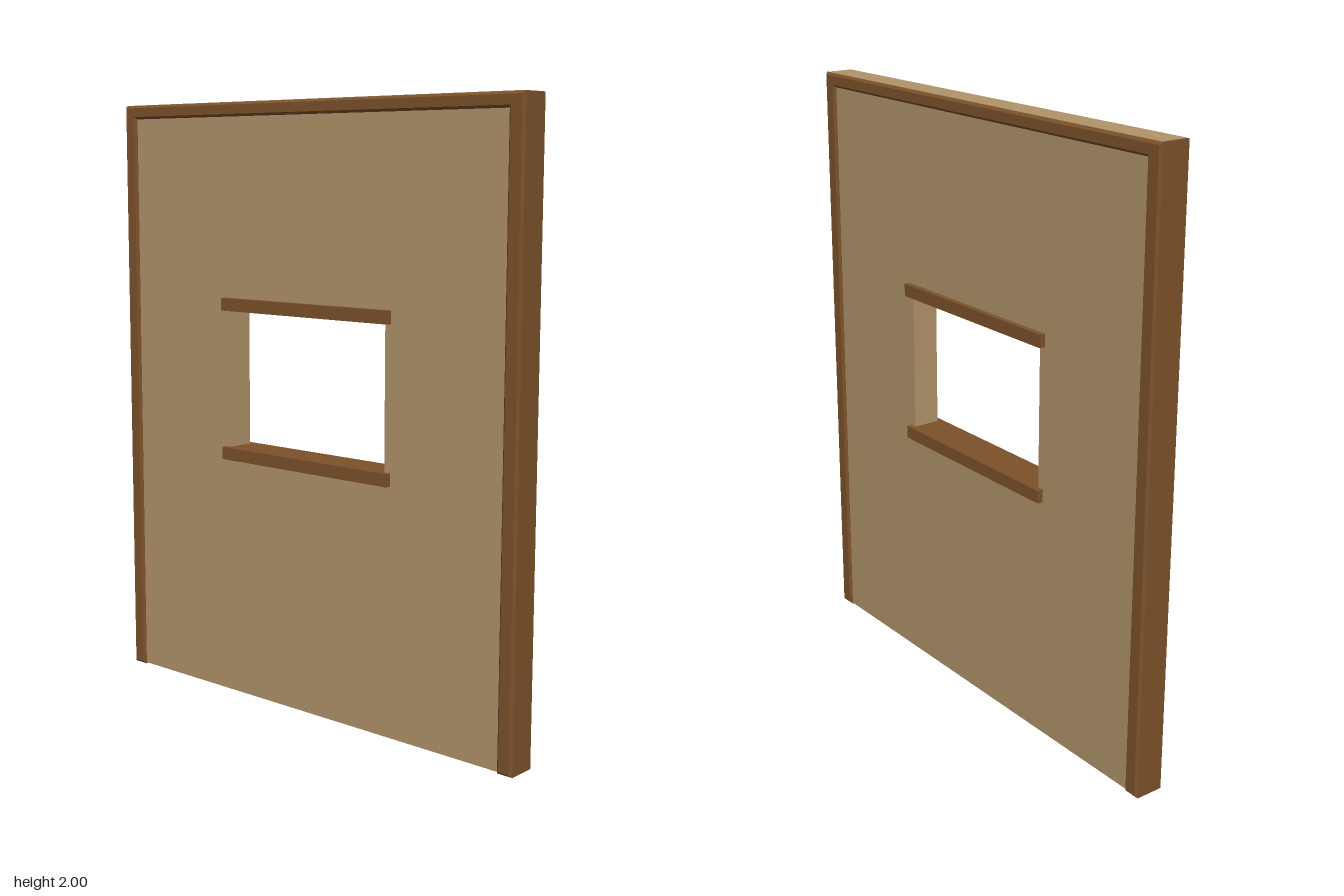
import * as THREE from 'three';

const tan = new THREE.MeshStandardMaterial({ name: 'tan plaster', color: 0xb2946b });
const brown = new THREE.MeshStandardMaterial({ name: 'brown wood', color: 0x7c522a });

const outline = (points) => new THREE.Shape(points.map(([x, y]) => new THREE.Vector2(x, y)));

// Extrude a shape centred on z = 0, with an optional one-step chamfer inside the outline
function slab(name, shape, depth, bevel, material) {
  const geometry = new THREE.ExtrudeGeometry(shape, {
    depth: depth - 2 * bevel,
    bevelEnabled: bevel > 0,
    bevelThickness: bevel,
    bevelSize: bevel,
    bevelOffset: -bevel,
    bevelSegments: 1,
  });
  geometry.translate(0, 0, bevel - depth / 2);
  const mesh = new THREE.Mesh(geometry, material);
  mesh.name = name;
  return mesh;
}

export function createModel() {
  const model = new THREE.Group();
  model.name = 'windowWall';

  // Wall panel with a rectangular opening; its top edge shows along the frame
  const wall = outline([[-0.828, 0.004], [0.828, 0.004], [0.828, 2], [-0.828, 2]]);
  wall.holes.push(new THREE.Path(
    [[-0.335, 0.84], [-0.335, 1.34], [0.335, 1.34], [0.335, 0.84]].map(([x, y]) => new THREE.Vector2(x, y))
  ));
  model.add(slab('wallPanel', wall, 0.092, 0, tan));

  // Chamfered frame: two posts joined by a top beam
  const frame = outline([
    [-0.835, 0], [-0.78, 0], [-0.78, 1.953], [0.78, 1.953],
    [0.78, 0], [0.835, 0], [0.835, 1.999], [-0.835, 1.999],
  ]);
  model.add(slab('frame', frame, 0.11, 0.008, brown));

  // Sill and lintel pass right through the wall
  for (const [name, y] of [['windowSill', 0.836], ['windowLintel', 1.339]]) {
    const rail = new THREE.Mesh(new THREE.BoxGeometry(0.715, 0.042, 0.13), brown);
    rail.name = name;
    rail.position.y = y;
    model.add(rail);
  }
  return model;
}
